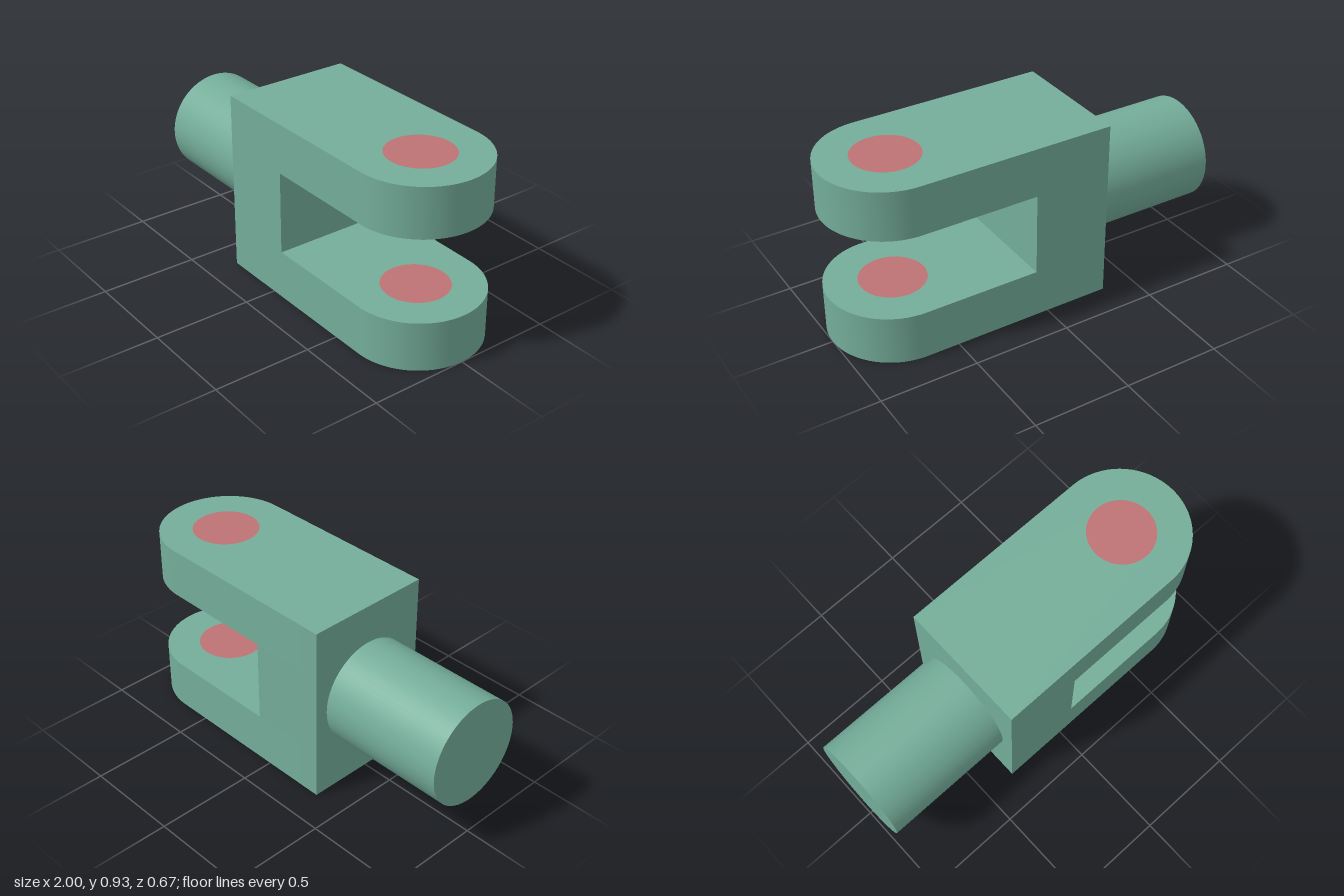
import * as THREE from 'three';
import { toCreasedNormals } from 'three/addons/utils/BufferGeometryUtils.js';

const HEIGHT = 0.933, ARM = 0.253, HALF = 0.333;  // fork height, arm thickness, half width
const BACK = -0.333, SLOT = 0.067, PIN_X = 0.667, PIN_R = 0.167;

export function createModel() {
  const model = new THREE.Group();
  model.name = 'clevis';

  const green = new THREE.MeshStandardMaterial({ color: 0x74ad99 });
  green.name = 'sage green';
  const red = new THREE.MeshStandardMaterial({ color: 0xbf7375 });
  red.name = 'muted red';

  const add = (name, geometry, material, x, y) => {
    const mesh = new THREE.Mesh(geometry, material);
    mesh.name = name;
    mesh.position.set(x, y, 0);
    model.add(mesh);
  };

  // Round-ended arm outline with a pin hole
  const outline = new THREE.Shape();
  outline.moveTo(BACK, -HALF);
  outline.lineTo(PIN_X, -HALF);
  outline.absarc(PIN_X, 0, HALF, -Math.PI / 2, Math.PI / 2, false);
  outline.lineTo(BACK, HALF);
  outline.closePath();
  const hole = new THREE.Path();
  hole.absarc(PIN_X, 0, PIN_R, 0, Math.PI * 2, true);
  outline.holes.push(hole);

  const arm = toCreasedNormals(
    new THREE.ExtrudeGeometry(outline, { depth: ARM, bevelEnabled: false, curveSegments: 32 })
      .rotateX(-Math.PI / 2), 0.5);
  const pin = new THREE.CylinderGeometry(PIN_R, PIN_R, ARM, 64);

  // Lower and upper arms, each with a flush pin
  for (const [side, y] of [['lower', 0], ['upper', HEIGHT - ARM]]) {
    add(side + 'Arm', arm, green, 0, y);
    add(side + 'Pin', pin, red, PIN_X, y + ARM / 2);
  }

  // Block joining the arms
  add('yokeBlock', new THREE.BoxGeometry(SLOT - BACK, HEIGHT - 2 * ARM, HALF * 2),
    green, (SLOT + BACK) / 2, HEIGHT / 2);

  // Round shank
  const length = BACK + 1;
  add('shank', new THREE.CylinderGeometry(0.267, 0.267, length, 64).rotateZ(Math.PI / 2),
    green, -1 + length / 2, HEIGHT / 2);

  return model;
}
